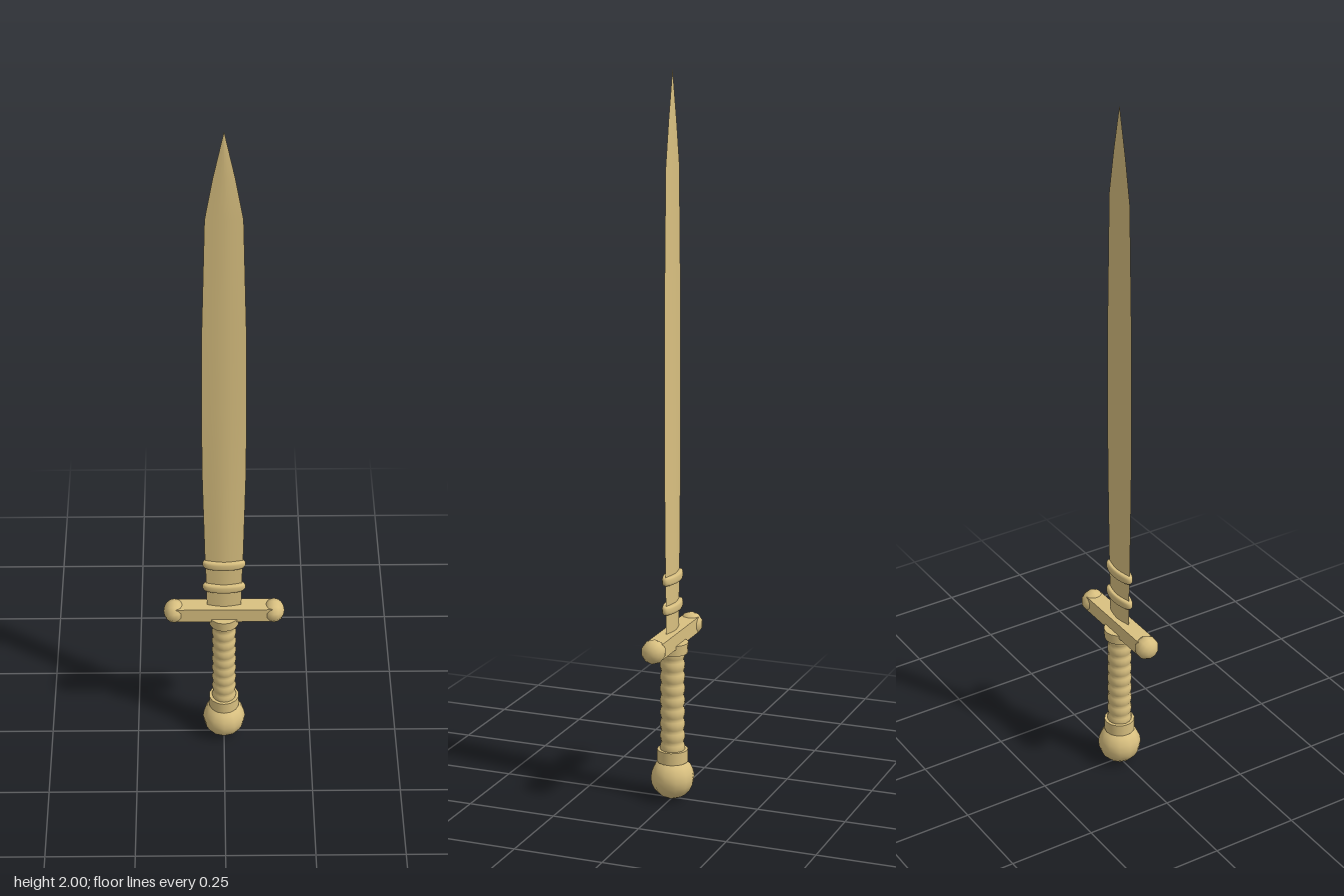
import * as THREE from 'three';

const material = new THREE.MeshStandardMaterial({ color: 0xd9c080 });

function add(parent, name, geometry, x = 0, y = 0, z = 0) {
  const mesh = new THREE.Mesh(geometry, material);
  mesh.name = name;
  mesh.position.set(x, y, z);
  parent.add(mesh);
  return mesh;
}

// Lens-shaped blade lofted through [height, half width, half thickness].
function bladeGeometry() {
  const stations = [
    [0.47, 0.048, 0.009], [0.55, 0.049, 0.009], [0.66, 0.053, 0.009],
    [0.94, 0.059, 0.008], [1.15, 0.06, 0.007], [1.4, 0.058, 0.006],
    [1.75, 0.049, 0.005], [1.87, 0.028, 0.004], [2, 0.0005, 0.0005],
  ];
  const across = [-1, -0.66, -0.33, 0, 0.33, 0.66, 1];
  const positions = [], indices = [];
  const n = across.length;
  // Each side has its own vertices so the cutting edges stay sharp.
  for (const side of [1, -1]) {
    const start = positions.length / 3;
    for (const [y, w, t] of stations) {
      for (const u of across) {
        positions.push(side * u * w, y, side * t * (1 - Math.abs(u) ** 1.5));
      }
    }
    for (let i = 0; i < stations.length - 1; i++) {
      for (let j = 0; j < n - 1; j++) {
        const a = start + i * n + j;
        indices.push(a, a + 1, a + n + 1, a, a + n + 1, a + n);
      }
    }
  }
  const geometry = new THREE.BufferGeometry();
  geometry.setAttribute('position', new THREE.Float32BufferAttribute(positions, 3));
  geometry.setIndex(indices);
  geometry.computeVertexNormals();
  return geometry;
}

// Grip with a shallow rounded rib for each turn of the wrap.
function gripGeometry() {
  const ribs = 9, bottom = 0.13, top = 0.435, steps = ribs * 6;
  const profile = [];
  for (let i = 0; i <= steps; i++) {
    const wave = Math.abs(Math.sin((i / 6) * Math.PI));
    profile.push(new THREE.Vector2(0.031 + 0.0035 * wave, bottom + (top - bottom) * i / steps));
  }
  return new THREE.LatheGeometry(profile, 16);
}

// Rounded oval band, flattened front to back.
function bandGeometry() {
  const profile = [[0.046, -0.012], [0.056, -0.011], [0.06, -0.005], [0.06, 0.005], [0.056, 0.011], [0.046, 0.012], [0, 0.012]]
    .map(([r, y]) => new THREE.Vector2(r, y));
  profile.unshift(new THREE.Vector2(0, -0.012));
  return new THREE.LatheGeometry(profile, 20).scale(1, 1, 0.33);
}

export function createModel() {
  const sword = new THREE.Group();
  sword.name = 'sword';

  // Handle
  add(sword, 'pommel', new THREE.SphereGeometry(0.061, 12, 10), 0, 0.061);
  add(sword, 'lowerCollar', new THREE.CylinderGeometry(0.043, 0.043, 0.035, 14), 0, 0.125);
  add(sword, 'grip', gripGeometry());
  add(sword, 'upperCollar', new THREE.CylinderGeometry(0.044, 0.042, 0.03, 14), 0, 0.435);

  // Crossguard
  add(sword, 'crossguard', new THREE.BoxGeometry(0.27, 0.044, 0.048), 0, 0.463);
  for (const side of [1, -1]) {
    const ball = add(sword, side > 0 ? 'leftGuardBall' : 'rightGuardBall',
      new THREE.SphereGeometry(0.034, 10, 8), side * 0.14, 0.463);
    ball.rotation.z = Math.PI / 2;
    ball.scale.y = 0.88;
  }

  // Blade and its two bands
  add(sword, 'blade', bladeGeometry());
  add(sword, 'lowerBand', bandGeometry(), 0, 0.552);
  add(sword, 'upperBand', bandGeometry(), 0, 0.634);

  return sword;
}
